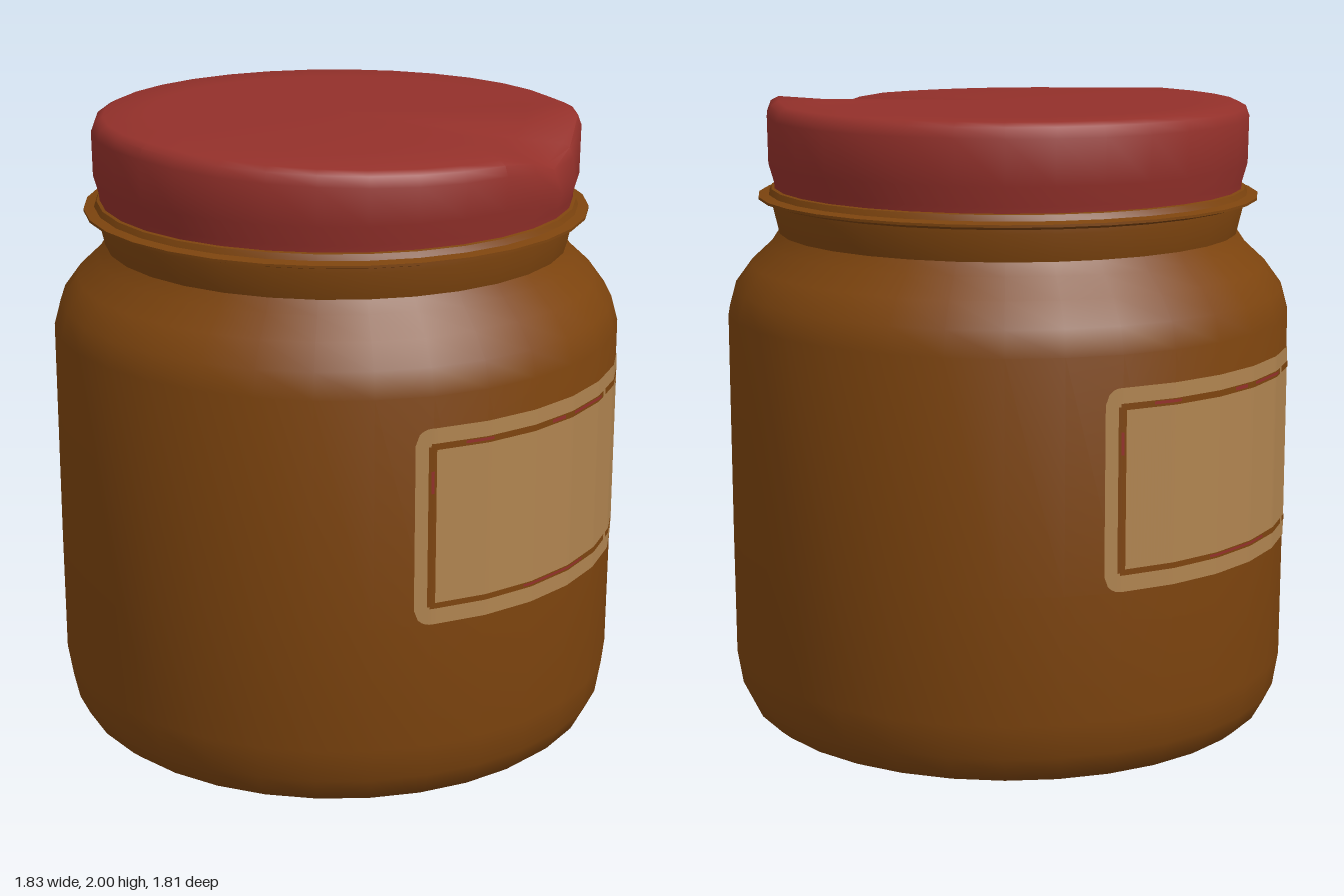
import * as THREE from 'three';
import { toCreasedNormals } from 'three/addons/utils/BufferGeometryUtils.js';

const SIDES = 32;
const STEP = (Math.PI * 2) / SIDES;
const RADIUS = 0.907;

const paint = (name, color) => {
  const m = new THREE.MeshStandardMaterial({ color });
  m.name = name;
  return m;
};

const lathe = (pts) =>
  new THREE.LatheGeometry(pts.map(([x, y]) => new THREE.Vector2(x, y)), SIDES);

// Distance from the axis to the faceted wall at an angle, plus a small lift
function wallRadius(a, lift) {
  const k = (((a % STEP) + STEP) % STEP) - STEP / 2;
  return (RADIUS * Math.cos(STEP / 2)) / Math.cos(k) + lift;
}

// Curved patch on the jar wall; corner rounds its ends. Angles in degrees from +z to +x
function wallPatch(deg0, deg1, y0, y1, lift, corner = 0) {
  const pos = [], idx = [], n = Math.max(2, Math.ceil((deg1 - deg0) / 0.75));
  for (let i = 0; i <= n; i++) {
    const a = THREE.MathUtils.degToRad(deg0 + ((deg1 - deg0) * i) / n);
    const edge = (Math.min(i, n - i) / n) * THREE.MathUtils.degToRad(deg1 - deg0) * RADIUS;
    const q = Math.max(0, corner - edge);
    const cut = corner - Math.sqrt(Math.max(0, corner * corner - q * q));
    const r = wallRadius(a, lift);
    pos.push(r * Math.sin(a), y0 + cut, r * Math.cos(a));
    pos.push(r * Math.sin(a), y1 - cut, r * Math.cos(a));
    if (i < n) {
      const b = i * 2;
      idx.push(b, b + 2, b + 3, b, b + 3, b + 1);
    }
  }
  const g = new THREE.BufferGeometry();
  g.setAttribute('position', new THREE.Float32BufferAttribute(pos, 3));
  g.setIndex(idx);
  g.computeVertexNormals();
  return g;
}

// Lid with a sagging side and a pinched dent in the rim
function lidGeometry() {
  const g = lathe([
    [0.75, 1.69], [0.753, 1.74], [0.77, 1.8], [0.772, 1.94],
    [0.76, 1.972], [0.735, 1.985], [0.6, 1.986], [0, 1.986],
  ]);
  const p = g.attributes.position;
  const dent = { 9: -0.055, 10: -0.1, 11: -0.06, 12: 0.014, 13: 0.01 };
  for (let i = 0; i < p.count; i++) {
    const x = p.getX(i), y = p.getY(i), z = p.getZ(i), r = Math.hypot(x, z);
    if (y < 1.9 || r < 0.01) continue;
    const a = (Math.atan2(x, z) + Math.PI * 2) % (Math.PI * 2);
    const side = Math.round(a / STEP) % SIDES;
    const sag = side < 9 ? -0.035 * Math.sin((side / 9) * Math.PI / 2) : 0;
    const drop = side in dent ? dent[side] : sag;
    const weight = r < 0.65 ? 0.3 : 1;
    const pinch = drop < -0.05 && r > 0.65 ? 1 + drop * 0.25 : 1;
    p.setXYZ(i, x * pinch, y + drop * weight, z * pinch);
  }
  return toCreasedNormals(g, 0.75);
}

export function createModel() {
  const brown = paint('jar brown', 0x7d440e);
  const red = paint('lid red', 0x93302a);
  const tan = paint('label tan', 0xb08450);
  const root = new THREE.Group();
  root.name = 'jar';

  const add = (parent, name, geometry, material) => {
    const mesh = new THREE.Mesh(geometry, material);
    mesh.name = name;
    parent.add(mesh);
  };

  // Jar: base, wall, shoulder and neck
  add(root, 'jarBody', toCreasedNormals(lathe([
    [0, 0], [0.825, 0], [0.855, 0.025], [0.887, 0.09], [0.905, 0.2], [RADIUS, 0.6],
    [RADIUS, 1.32], [0.885, 1.4], [0.83, 1.475], [0.765, 1.535], [0.738, 1.575],
    [0.758, 1.66], [0.755, 1.7],
  ]), 0.7), brown);

  // Thin flange under the lid
  add(root, 'neckFlange', toCreasedNormals(lathe([
    [0.75, 1.672], [0.765, 1.675], [0.803, 1.686], [0.803, 1.694], [0.77, 1.7], [0.762, 1.718], [0.745, 1.722],
  ]), 0.7), brown);

  add(root, 'lid', lidGeometry(), red);

  // Two labels on opposite sides, each with a worn frame line
  const frame = [
    [66.5, 68.1, 0.66, 1.165], [67, 116, 1.155, 1.175], [117.5, 129, 1.155, 1.175],
    [130, 131.5, 1.12, 1.175], [67, 120, 0.653, 0.671], [121.5, 131, 0.653, 0.671],
    [130.2, 131.5, 0.66, 0.685],
  ];
  const accents = [
    [74, 80, 1.163, 1.172], [95, 99, 1.161, 1.172], [102, 114, 1.163, 1.172],
    [88, 107, 0.66, 0.668], [67, 67.6, 1.02, 1.09],
  ];
  for (const turn of [0, Math.PI]) {
    const label = new THREE.Group();
    label.name = turn ? 'rightLabel' : 'leftLabel';
    label.rotation.y = turn;
    add(label, 'labelPlate', wallPatch(64, 135, 0.602, 1.222, 0.003, 0.05), tan);
    for (const s of frame) add(label, 'frameLine', wallPatch(...s, 0.005), brown);
    for (const s of accents) add(label, 'frameAccent', wallPatch(...s, 0.007), red);
    root.add(label);
  }
  return root;
}
